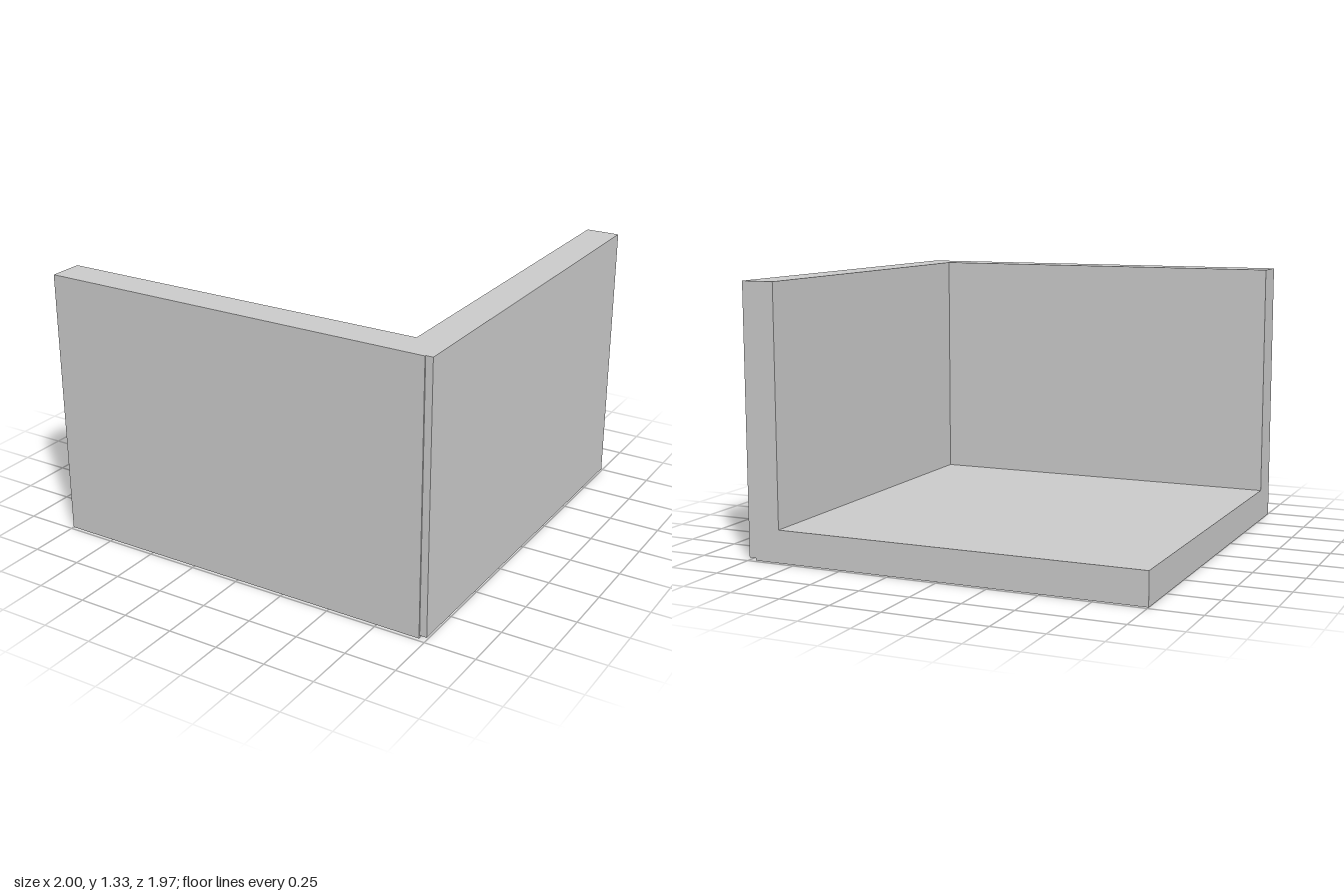
import * as THREE from 'three';

export function createModel() {
  const group = new THREE.Group();
  const material = new THREE.MeshStandardMaterial({ color: 0xcccccc, flatShading: true });

  // Box given by its lower and upper limits on each axis
  const addSlab = (name, [x0, x1], [y0, y1], [z0, z1]) => {
    const mesh = new THREE.Mesh(new THREE.BoxGeometry(x1 - x0, y1 - y0, z1 - z0), material);
    mesh.position.set((x0 + x1) / 2, (y0 + y1) / 2, (z0 + z1) / 2);
    mesh.name = name;
    group.add(mesh);
  };

  const top = 1.325, depth = 0.983, thick = 0.165;
  const innerX = 1 - thick, innerZ = depth - thick;
  const floorEnd = 0.965; // floor and front wall stop just short of the side wall's face

  // Floor and front wall meet the side wall inside its thickness
  addSlab('floor', [-1, floorEnd], [0, 0.16], [-depth, innerZ]);
  addSlab('frontWall', [-1, floorEnd], [0, top], [innerZ, depth]);

  // Side wall, raised slightly off the ground and set back from the front face
  addSlab('leftWall', [innerX, 1], [0.012, top], [-depth, depth - 0.006]);

  return group;
}
